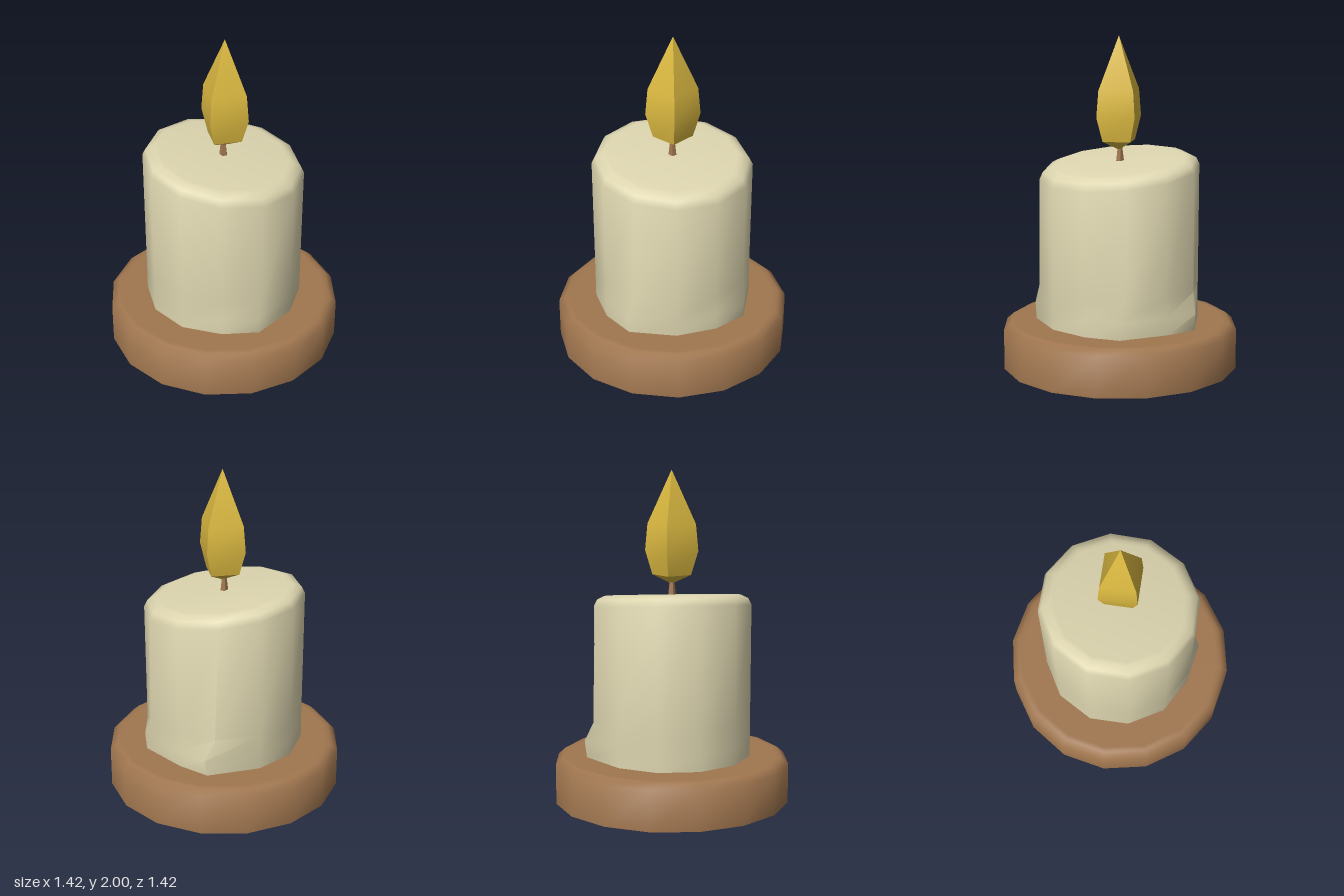
import * as THREE from 'three';
import { toCreasedNormals } from 'three/addons/utils/BufferGeometryUtils.js';

// Horizontal polygon of points; height may vary over x and z, offset is in radians.
function ring(sides, radius, height, offset, cx = 0, cz = 0) {
  return Array.from({ length: sides }, (_, i) => {
    const a = offset + (i / sides) * Math.PI * 2;
    const x = cx + radius * Math.cos(a);
    const z = cz + radius * Math.sin(a);
    return new THREE.Vector3(x, typeof height === 'function' ? height(x, z) : height, z);
  });
}

// Joins rings from bottom to top into a surface; zero-radius rings close the ends.
function loft(rings, crease) {
  const positions = [];
  const triangle = (a, b, c) => {
    if (a.distanceTo(b) < 1e-5 || b.distanceTo(c) < 1e-5 || c.distanceTo(a) < 1e-5) return;
    for (const p of [a, b, c]) positions.push(p.x, p.y, p.z);
  };
  for (let r = 0; r < rings.length - 1; r++) {
    const low = rings[r], high = rings[r + 1], n = low.length;
    for (let i = 0; i < n; i++) {
      const j = (i + 1) % n;
      triangle(low[i], high[i], low[j]);
      triangle(low[j], high[i], high[j]);
    }
  }
  const geometry = new THREE.BufferGeometry();
  geometry.setAttribute('position', new THREE.Float32BufferAttribute(positions, 3));
  return toCreasedNormals(geometry, crease);
}

export function createModel() {
  const wood = new THREE.MeshStandardMaterial({ color: 0xa0764f });
  wood.name = 'brown wood';
  const wax = new THREE.MeshStandardMaterial({ color: 0xded6b0 });
  wax.name = 'cream wax';
  const fire = new THREE.MeshStandardMaterial({ color: 0xdfbc42 });
  fire.name = 'yellow flame';

  const group = new THREE.Group();
  group.name = 'candle';
  const add = (name, geometry, material) => {
    const mesh = new THREE.Mesh(geometry, material);
    mesh.name = name;
    group.add(mesh);
  };
  const turn = -0.095;

  // Round wooden base with a bevelled top edge
  const baseProfile = [[0, 0], [0.714, 0], [0.714, 0.243], [0.672, 0.28], [0.64, 0.28], [0, 0.28]];
  add('base', loft(baseProfile.map(([r, y]) => ring(16, r, y, turn)), 1.05), wood);

  // Wax body with a slanted top and a soft rim
  const slant = (level) => (x, z) => level - 0.045 * x - 0.115 * z;
  const body = [
    ring(12, 0.48, 0.27, turn),
    ring(12, 0.48, 0.38, turn),
    ring(12, 0.48, 0.5, turn),
    ring(12, 0.482, slant(1.19), turn),
    ring(12, 0.462, slant(1.23), turn),
    ring(12, 0.415, slant(1.252), turn),
    ring(12, 0.39, slant(1.255), turn),
    ring(12, 0, slant(1.255), turn),
  ];
  // Drips: rim vertex, x and z of the bulge at the foot
  for (const [i, x, z] of [[11, 0.478, -0.243], [1, 0.445, 0.258], [4, -0.25, 0.452]]) {
    for (const [level, amount] of [[0, 0.8], [1, 1], [2, 0.25]]) {
      const p = body[level][i];
      p.x += (x - p.x) * amount;
      p.z += (z - p.z) * amount;
    }
  }
  add('waxBody', loft(body, 0.95), wax);

  // Wick, narrowing upwards
  const wickProfile = [[0.027, 1.24], [0.014, 1.345], [0, 1.345]];
  add('wick', loft(wickProfile.map(([r, y]) => ring(5, r, y, 0.3)), 0.3), wood);

  // Four-sided pointed flame
  const flameProfile = [[0, 1.32], [0.118, 1.375], [0.162, 1.52], [0.147, 1.68], [0, 2]];
  add('flame', loft(flameProfile.map(([r, y]) => ring(4, r, y, turn, 0.003, 0.008)), 0.65), fire);

  return group;
}
